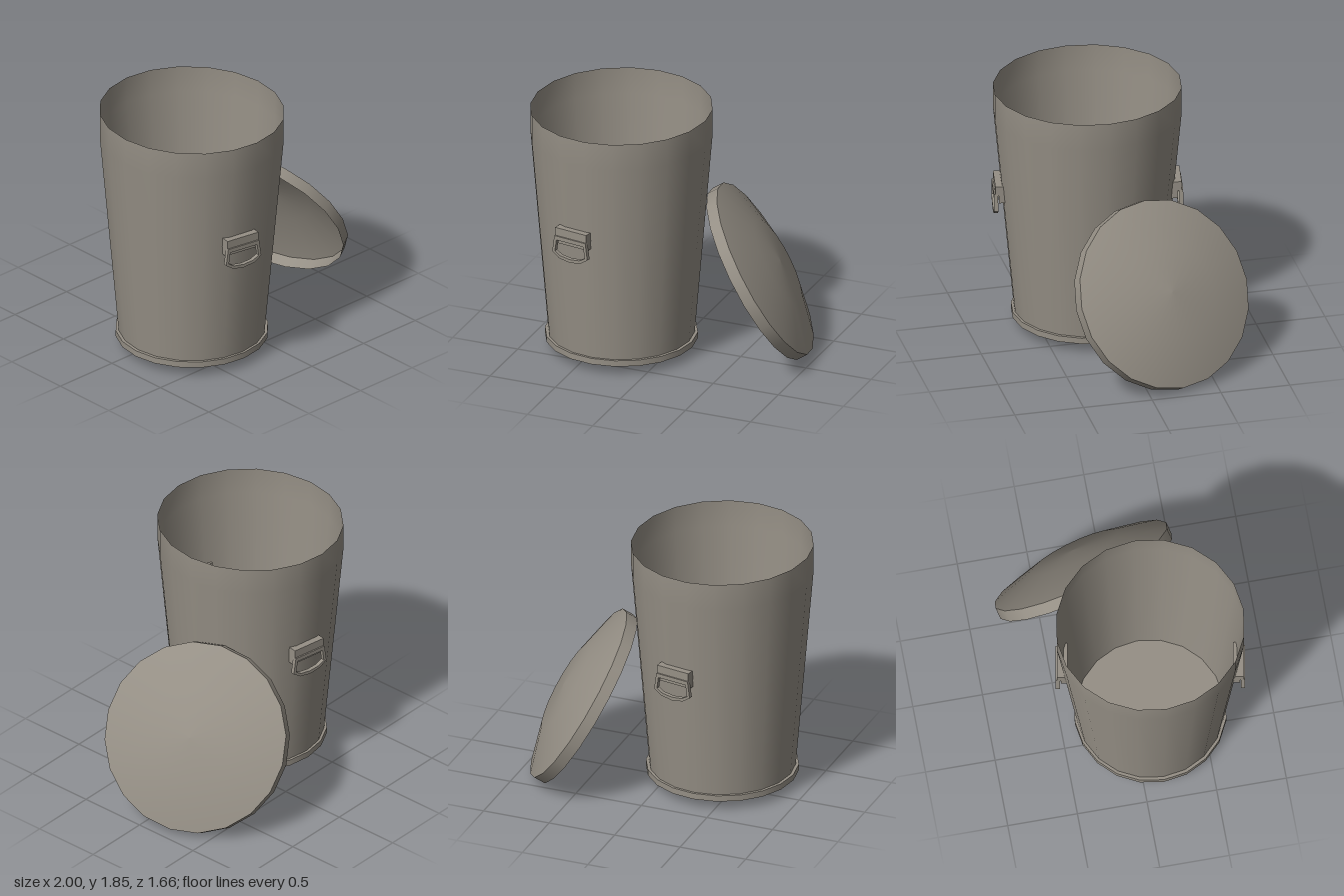
import * as THREE from 'three';

const SIDES = 20;
const deg = THREE.MathUtils.degToRad;
const V2 = (x, y) => new THREE.Vector2(x, y);

export function createModel() {
  const model = new THREE.Group();
  model.name = 'trashCanWithLid';
  const metal = new THREE.MeshStandardMaterial({ color: 0x958f85, side: THREE.DoubleSide });
  metal.name = 'dull grey metal';

  const add = (parent, name, geometry) => {
    const mesh = new THREE.Mesh(geometry, metal);
    mesh.name = name;
    parent.add(mesh);
    return mesh;
  };

  // Can
  const can = new THREE.Group();
  can.name = 'can';
  can.position.set(-0.357, 0, 0.14);
  model.add(can);

  // Open tapered wall with an upright rim, slightly stretched front to back towards the top
  const wall = new THREE.LatheGeometry([V2(0.519, 0.12), V2(0.643, 1.65), V2(0.643, 1.85)], SIDES);
  const p = wall.attributes.position;
  for (let i = 0; i < p.count; i++) {
    const t = Math.min(1, (p.getY(i) - 0.12) / 1.53);
    p.setZ(i, p.getZ(i) * (1.01 + 0.032 * t));
  }
  add(can, 'wall', wall);

  // Base disc, whose top is the floor
  add(can, 'base', new THREE.CylinderGeometry(0.542, 0.542, 0.045, SIDES)).position.y = 0.0975;

  // Two handles on opposite sides: back plate, hinge box and hanging loop
  const loop = new THREE.Shape([
    V2(-0.13, 1.07), V2(-0.148, 0.945), V2(-0.09, 0.905), V2(0, 0.89),
    V2(0.09, 0.905), V2(0.148, 0.945), V2(0.13, 1.07),
  ]);
  loop.holes.push(new THREE.Path([
    V2(-0.113, 1.04), V2(0.113, 1.04), V2(0.125, 0.952),
    V2(0.08, 0.925), V2(0, 0.915), V2(-0.08, 0.925), V2(-0.125, 0.952),
  ]));
  const loopGeometry = new THREE.ExtrudeGeometry(loop, { depth: 0.03, bevelEnabled: false });
  for (const [name, turn] of [['frontHandle', -10], ['backHandle', 170]]) {
    const handle = new THREE.Group();
    handle.name = name;
    handle.rotation.y = deg(turn);
    add(handle, 'handlePlate', new THREE.BoxGeometry(0.255, 0.13, 0.045)).position.set(0, 1.065, 0.61);
    add(handle, 'hingeBox', new THREE.BoxGeometry(0.26, 0.07, 0.075)).position.set(0, 1.095, 0.622);
    add(handle, 'loop', loopGeometry).position.z = 0.64;
    can.add(handle);
  }

  // Lid leaning on the can: its axis points right, up and slightly back
  const lid = new THREE.Group();
  lid.name = 'lid';
  const axis = new THREE.Vector3(0.816, 0.504, -0.283).normalize();
  const down = new THREE.Vector3(0, -1, 0).addScaledVector(axis, axis.y).normalize();
  const across = new THREE.Vector3().crossVectors(down, axis);
  lid.quaternion.setFromRotationMatrix(new THREE.Matrix4().makeBasis(down, axis, across));
  lid.position.set(0.54, 0.585, -0.159);
  model.add(lid);

  const R = 0.677, depth = 0.085;
  const ring = (points) => new THREE.LatheGeometry(points, SIDES, deg(-5));
  add(lid, 'lidRim', ring([V2(R, 0), V2(R, depth)]));
  add(lid, 'lidDome', ring([V2(R, depth), V2(0.34, depth + 0.105), V2(0, depth + 0.125)]));

  return model;
}
